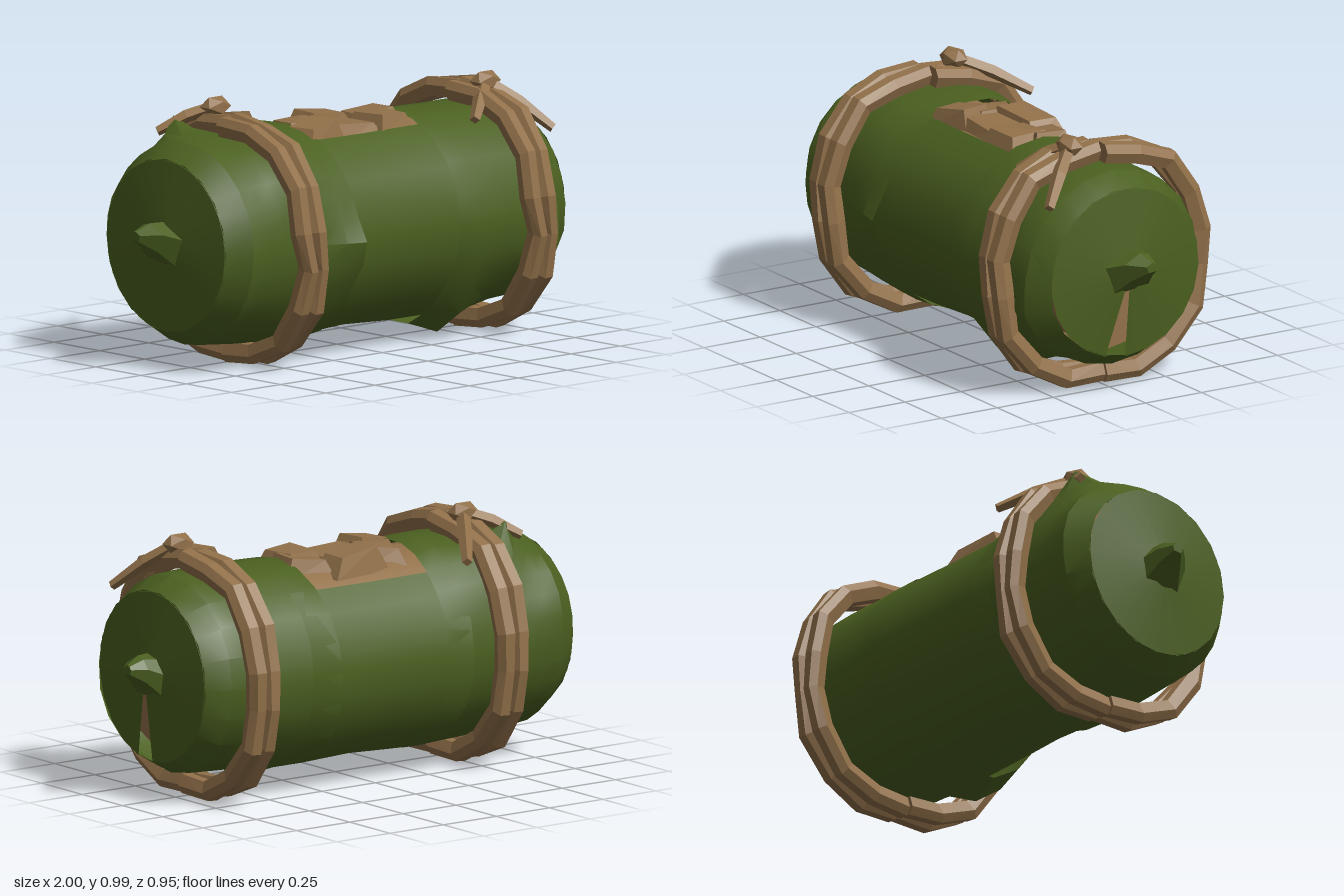
import * as THREE from 'three';
import { toCreasedNormals } from 'three/addons/utils/BufferGeometryUtils.js';

const leaf = new THREE.MeshStandardMaterial({ color: 0x4b6020, side: THREE.DoubleSide });
leaf.name = 'leaf green';
const straw = new THREE.MeshStandardMaterial({ color: 0x92714a, side: THREE.DoubleSide });
straw.name = 'straw brown';

// Skin a list of cross-sections (arrays of Vector3); crease = 0 gives facets
function loft(rings, { closed = true, caps = false, crease = 0 } = {}) {
  const pos = [], n = rings[0].length;
  const tri = (...p) => p.forEach(v => pos.push(v.x, v.y, v.z));
  for (let i = 0; i < rings.length - 1; i++) {
    for (let j = 0; j < (closed ? n : n - 1); j++) {
      const k = (j + 1) % n;
      const a = rings[i][j], b = rings[i][k], c = rings[i + 1][k], d = rings[i + 1][j];
      tri(a, b, c);
      tri(a, c, d);
    }
  }
  if (caps) {
    const first = rings[0], last = rings[rings.length - 1];
    for (let j = 1; j < n - 1; j++) {
      tri(first[0], first[j + 1], first[j]);
      tri(last[0], last[j], last[j + 1]);
    }
  }
  const g = new THREE.BufferGeometry();
  g.setAttribute('position', new THREE.Float32BufferAttribute(pos, 3));
  g.computeVertexNormals();
  return crease ? toCreasedNormals(g, crease) : g;
}

// Leaf sheet round the x axis: stations [x, radius, centreY, centreZ]; angle 0 is up, growing to +z
// Bumps [x, angle, height, xSpread, angleSpread] push the sheet outward
function sheet(stations, { a0 = 0, a1 = Math.PI * 2, segs = 20, bumps = [], tilt = 0, crease = 0.5 } = {}) {
  const rings = stations.map(([x, r, cy, cz], s) => {
    const ring = [];
    for (let j = 0; j <= segs; j++) {
      const a = a0 + (a1 - a0) * j / segs;
      let rad = r;
      for (const [bx, ba, h, sx, sa] of bumps) {
        const da = Math.atan2(Math.sin(a - ba), Math.cos(a - ba));
        rad += h * Math.exp(-(((x - bx) / sx) ** 2) - (da / sa) ** 2);
      }
      const px = x + (s === 0 ? tilt * Math.cos(a) : 0);
      ring.push(new THREE.Vector3(px, cy + rad * Math.cos(a), cz + rad * Math.sin(a)));
    }
    return ring;
  });
  return loft(rings, { closed: false, crease });
}

export function createModel() {
  const group = new THREE.Group();
  const add = (name, geometry, material, parent = group) => {
    const m = new THREE.Mesh(geometry, material);
    m.name = name;
    parent.add(m);
    return m;
  };

  // Filling inside the roll
  const core = new THREE.CylinderGeometry(0.365, 0.365, 1.3, 16).rotateZ(Math.PI / 2).translate(0, 0.475, -0.01);
  add('filling', toCreasedNormals(core, 0.5), straw);
  add('fillingEnd', new THREE.CylinderGeometry(0.285, 0.3, 0.16, 14).rotateZ(-Math.PI / 2).translate(0.72, 0.475, 0), straw);

  // Middle leaf, open over the filling
  add('middleLeaf', sheet([
    [-0.35, 0.39, 0.472, -0.015], [-0.2, 0.387, 0.472, -0.015], [0, 0.383, 0.473, -0.015],
    [0.22, 0.386, 0.472, -0.014], [0.4, 0.388, 0.472, -0.012],
  ], { a0: 0.41, a1: Math.PI * 2 - 0.65, segs: 18, bumps: [[-0.25, 3.0, 0.014, 0.3, 0.5], [0.3, 3.0, 0.016, 0.2, 0.5]] }), leaf);

  // Two outer leaves, puckered under the ties and flared at the free edges
  add('rightEndLeaf', sheet([
    [-0.235, 0.39, 0.474, -0.012], [-0.32, 0.39, 0.477, -0.01], [-0.42, 0.386, 0.48, -0.01],
    [-0.56, 0.386, 0.48, -0.01], [-0.63, 0.386, 0.48, -0.01], [-0.7, 0.386, 0.48, -0.01],
    [-0.77, 0.383, 0.48, -0.01], [-0.86, 0.325, 0.48, -0.015],
  ], {
    bumps: [[-0.23, 1.65, 0.05, 0.13, 0.2], [-0.63, -0.45, 0.1, 0.07, 0.2],
      [-0.4, 2.9, 0.03, 0.25, 0.6], [-0.76, -1.1, 0.02, 0.1, 0.4], [-0.32, -0.35, 0.03, 0.1, 0.35],
      [-0.5, 0.75, 0.035, 0.12, 0.35], [-0.48, -0.75, 0.035, 0.12, 0.35]],
    segs: 28,
  }), leaf);
  add('leftEndLeaf', sheet([
    [0.265, 0.391, 0.473, -0.01], [0.38, 0.391, 0.475, -0.005], [0.52, 0.386, 0.478, 0],
    [0.66, 0.384, 0.48, 0], [0.77, 0.378, 0.48, 0], [0.86, 0.325, 0.482, 0],
  ], {
    bumps: [[0.38, 2.75, 0.085, 0.12, 0.4], [0.33, 1.7, 0.025, 0.15, 0.5], [0.74, 2.0, 0.04, 0.12, 0.4]],
    tilt: 0.015,
  }), leaf);

  // End folds with a twisted nub; the left one has a narrow slit
  for (const side of [-1, 1]) {
    const cz = side < 0 ? -0.015 : 0;
    const slit = side > 0 ? 0.27 : 0;
    const name = side > 0 ? 'left' : 'right';
    add(name + 'EndFold', sheet([
      [side * 0.858, 0.329, 0.481, cz], [side * 0.888, 0.07, 0.485, 0],
    ], { a0: Math.PI, a1: Math.PI * 3 - slit, segs: 20, crease: 0.3 }), leaf);
    const outline = [[0.11, 0.52], [0.07, 0.41], [-0.09, 0.425], [-0.105, 0.51], [-0.06, 0.565], [0, 0.58]];
    const nubRing = (x, s, cy, z0) => outline.map(([z, y]) =>
      new THREE.Vector3(side * x, cy + (y - 0.5) * s, z0 + z * s));
    add(name + 'EndNub', loft([
      nubRing(0.875, 1, 0.495, 0), nubRing(0.94, 0.62, 0.525, -0.015), nubRing(1.0, 0.22, 0.53, -0.03),
    ], { caps: true }), leaf);
  }

  // Filling chunks heaped in the opening: [x, z, width, depth, top, turn]
  const chunks = [
    [-0.18, 0.06, 0.2, 0.15, 0.89, 0.2], [0.0, 0.0, 0.26, 0.26, 0.87, -0.05],
    [0.18, 0.04, 0.18, 0.2, 0.885, 0.12], [0.21, -0.06, 0.19, 0.16, 0.88, -0.2],
    [0.01, -0.11, 0.25, 0.15, 0.89, 0.15], [-0.14, -0.06, 0.18, 0.16, 0.88, -0.4],
  ];
  chunks.forEach(([x, z, w, d, top, turn], i) => {
    const g = new THREE.BoxGeometry(w, 0.1, d).toNonIndexed();
    const p = g.attributes.position;
    for (let v = 0; v < p.count; v++) {
      const sx = Math.sign(p.getX(v)), sy = Math.sign(p.getY(v)), sz = Math.sign(p.getZ(v));
      const drop = 0.012 * (1 + Math.sin(i * 2.3 + sx * 1.7 + sz * 2.9));
      p.setX(v, p.getX(v) * (sy > 0 ? 0.72 : 1.12) + 0.02 * sz * Math.sin(i * 3));
      p.setY(v, p.getY(v) - (sy > 0 ? drop : 0));
      p.setZ(v, p.getZ(v) * (sy > 0 ? 0.75 : 1.05));
    }
    g.rotateY(turn).translate(x, top - 0.05, z);
    g.computeVertexNormals();
    add('fillingChunk', g, straw);
  });

  // Straw ties: two half loops of two strands, a knot and two loose tails
  const degrees = [0, 20, 39, 60, 81, 99, 119, 141, 161, 180];
  const outer = [0.472, 0.482, 0.505, 0.495, 0.481, 0.481, 0.503, 0.508, 0.494, 0.472];
  const section = [[-0.04, -0.03], [-0.022, 0], [0.02, -0.004], [0.038, -0.035], [0.02, -0.078], [-0.025, -0.075]];
  const strand = (x0, half, k) => loft(degrees.map((deg, i) => {
    const a = deg * Math.PI / 180;
    const slide = half > 0 ? -0.02 + 0.03 * i / 9 + (i === 4 ? -0.01 : i === 5 ? 0.012 : 0) : 0.024;
    const pinch = i === 5 ? 0.85 : 0.98;
    const lift = 0.008 * ((i + (k > 0 ? 0 : 1)) % 2);
    return section.map(([dx, dr]) => {
      const r = outer[i] + dr - lift;
      return new THREE.Vector3(x0 + slide + (k * 0.035 + dx) * pinch,
        0.477 + r * Math.cos(a), half * r * Math.sin(a));
    });
  }), { caps: true });

  const tail = (from, to) => {
    const a = new THREE.Vector3(...from), b = new THREE.Vector3(...to);
    const mid = a.clone().lerp(b, 0.5).add(new THREE.Vector3(0, 0.01, 0));
    const across = b.clone().sub(a).cross(new THREE.Vector3(0, 1, 0)).normalize();
    const up = across.clone().cross(b.clone().sub(a).normalize());
    return loft([[a, 0.026], [mid, 0.028], [b, 0.02]].map(([c, r]) =>
      [[-1, 0], [0, 0.9], [1, 0], [0, -0.9]].map(([s, t]) =>
        c.clone().addScaledVector(across, s * r).addScaledVector(up, t * r))), { caps: true });
  };

  const ties = [
    { name: 'rightTie', x: -0.525, knot: [-0.51, 0.955, -0.12], ends: [[-0.69, 0.865, -0.245], [-0.345, 0.825, -0.365]] },
    { name: 'leftTie', x: 0.643, knot: [0.65, 0.945, 0.115], ends: [[0.815, 0.77, 0.31], [0.485, 0.83, 0.235]] },
  ];
  for (const { name, x, knot, ends } of ties) {
    const tie = new THREE.Group();
    tie.name = name;
    group.add(tie);
    for (const half of [-1, 1]) for (const k of [-1, 1]) add('strand', strand(x, half, k), straw, tie);
    const k = add('knot', new THREE.IcosahedronGeometry(0.054, 0).scale(1.2, 0.8, 0.95), straw, tie);
    k.position.set(...knot);
    ends.forEach(e => add('tail', tail(knot, e), straw, tie));
  }
  return group;
}
